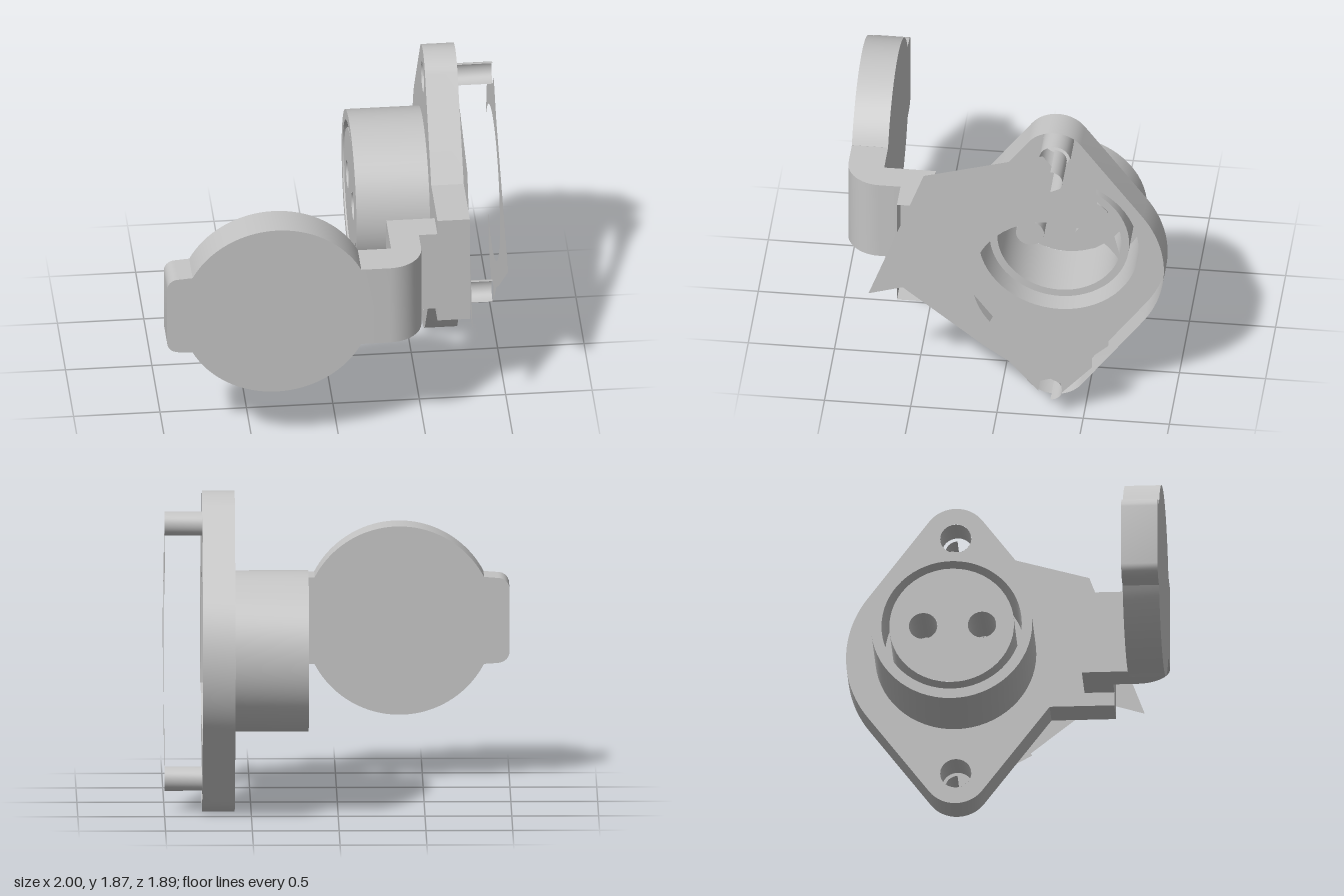
import * as THREE from 'three';
import { toCreasedNormals } from 'three/addons/utils/BufferGeometryUtils.js';

const steel = new THREE.MeshStandardMaterial({ color: 0xc4c4c4, side: THREE.DoubleSide });
steel.name = 'steel grey';

const CU = 0.31, CY = 0.937;      // socket axis, with u = -z
const BACK = 0.595, FRONT = 0.783; // flange extent along x
const PLATE = 1.0;                // outer loose plate position along x
const SCREWS = [CY + 0.745, CY - 0.745];
const OPENING = 0.455;            // radius of the plate openings

function mesh(name, geometry) {
  const m = new THREE.Mesh(geometry, steel);
  m.name = name;
  return m;
}

// points along an arc, angles in degrees
function arc(cx, cy, r, from, to, n = 16) {
  return Array.from({ length: n + 1 }, (_, i) => {
    const a = THREE.MathUtils.degToRad(from + (to - from) * i / n);
    return new THREE.Vector2(cx + r * Math.cos(a), cy + r * Math.sin(a));
  });
}

const pts = (list) => list.map(([a, b]) => new THREE.Vector2(a, b));

// flat sheet drawn in (u, y), standing at a given x
function sheet(name, shape, x) {
  const g = new THREE.ShapeGeometry(shape, 32).rotateY(Math.PI / 2).translate(x, 0, 0);
  return mesh(name, g);
}

// ribbon following a (u, y) outline between two x positions
function wall(name, outline, x0, x1) {
  const pos = [];
  for (let i = 0; i < outline.length - 1; i++) {
    const a = outline[i], b = outline[i + 1];
    const quad = [[x0, a], [x1, a], [x1, b], [x0, a], [x1, b], [x0, b]];
    for (const [x, p] of quad) pos.push(x, p.y, -p.x);
  }
  const g = new THREE.BufferGeometry();
  g.setAttribute('position', new THREE.Float32BufferAttribute(pos, 3));
  return mesh(name, toCreasedNormals(g, 0.5));
}

function circleHole(u, y, r) {
  const p = new THREE.Path();
  p.absarc(u, y, r, 0, Math.PI * 2, true);
  return p;
}

// open flange shell with a rectangular hinge tab
function buildFlange() {
  const group = new THREE.Group();
  group.name = 'flange';
  const t = 36.2;
  const outline = [
    ...arc(CU, CY, 0.633, -t, t, 24),
    ...arc(CU, SCREWS[0], 0.19, t, 180 - t),
    ...pts([[-0.225, 1.28], [-0.605, 1.28], [-0.605, 0.6], [-0.232, 0.6]]),
    ...arc(CU, SCREWS[1], 0.19, 180 + t, 360 - t),
  ];
  const face = new THREE.Shape(outline);
  face.holes.push(circleHole(CU, CY, 0.465));
  for (const y of SCREWS) face.holes.push(circleHole(CU, y, 0.09));
  group.add(sheet('flangeFace', face, BACK));
  group.add(wall('flangeRim', [...outline, outline[0]], BACK, FRONT));
  for (const y of SCREWS) {
    group.add(wall('screwHole', arc(CU, y, 0.09, 0, 360, 24), BACK, FRONT));
    group.add(wall('screwSleeve', arc(CU, y, 0.07, -90, 90), FRONT, PLATE));
  }
  return group;
}

// barrel with a slit around the flush insert and two contacts
function buildSocket() {
  const group = new THREE.Group();
  group.name = 'socket';
  const profile = pts([[0.465, BACK], [0.465, 0.17], [0.405, 0.17], [0.405, 0.55],
    [0.36, 0.55], [0.36, 0.175]]);
  const barrel = new THREE.LatheGeometry(profile, 64).rotateZ(-Math.PI / 2);
  barrel.translate(0, CY, -CU);
  group.add(mesh('barrel', toCreasedNormals(barrel, 0.5)));

  const disc = new THREE.Shape(arc(CU, CY, 0.36, 0, 360, 48));
  for (const u of [0.135, 0.475]) {
    disc.holes.push(circleHole(u, CY, 0.082));
    group.add(wall('contactTube', arc(u, CY, 0.082, 0, 360, 24), 0.175, 0.51));
    group.add(sheet('contactEnd', new THREE.Shape(arc(u, CY, 0.082, 0, 360, 24)), 0.51));
  }
  group.add(sheet('insertFace', disc, 0.175));
  return group;
}

// two layers of jagged thin plate around the socket opening
function buildPlates() {
  const group = new THREE.Group();
  group.name = 'loosePlates';
  const outer = [
    ...pts([[0.72, 1.1], [0.64, 1.5], [0.4, 1.7], [0.37, 1.64], [0.31, 1.61], [0.24, 1.7],
      [0.075, 1.5], [-0.655, 0.94], [-0.075, 0.475], [0.07, 0.375],
      [0.24, 0.18], [0.25, 0.25], [0.31, 0.27], [0.37, 0.24], [0.38, 0.18],
      [0.55, 0.37], [0.55, 0.57]]),
    ...arc(CU, CY, OPENING, -57, -338, 40),
  ];
  const innerUpper = [
    ...pts([[0.55, 1.5], [0.4, 1.7], [0.37, 1.64], [0.31, 1.61], [0.24, 1.7],
      [-0.45, 1.5], [-0.77, 0.63], [-0.41, 0.74]]),
    ...arc(CU, CY, OPENING, 194, 57, 24),
  ];
  const innerLower = [
    ...pts([[-0.12, 0.38], [0.24, 0.18], [0.25, 0.25], [0.31, 0.27], [0.37, 0.24],
      [0.4, 0.17], [0.62, 0.37], [0.64, 0.645]]),
    ...arc(CU, CY, OPENING, -45, -134, 20),
  ];
  group.add(sheet('outerPlate', new THREE.Shape(outer), PLATE));
  group.add(sheet('innerPlateUpper', new THREE.Shape(innerUpper), FRONT));
  group.add(sheet('innerPlateLower', new THREE.Shape(innerLower), FRONT));
  return group;
}

// cap disc with its pull tab, bent strap and hinge block
function buildCap() {
  const group = new THREE.Group();
  group.name = 'cap';
  const lo = 0.683, hi = 1.19;
  const cx = -0.365, r = 0.55, half = 27.5;
  const outline = new THREE.Shape([
    ...arc(cx, CY, r, half, 180 - half, 40),
    ...pts([[-0.93, 1.185]]),
    ...arc(-0.935, 1.12, 0.065, 100, 180, 6),
    ...arc(-0.935, 0.755, 0.065, 180, 260, 6),
    ...pts([[-0.93, 0.688]]),
    ...arc(cx, CY, r, 180 + half, 360 - half, 40),
  ]);
  const disc = new THREE.ExtrudeGeometry(outline, { depth: 0.21, bevelEnabled: false });
  disc.translate(0, 0, 0.733);
  group.add(mesh('capDisc', toCreasedNormals(disc, 0.5)));

  // strap profile in (x, z), extruded along y
  const strap = new THREE.Shape([
    ...pts([[0.1, 0.733], [0.315, 0.733], [0.315, 0.433], [BACK, 0.433], [BACK, 0.605], [0.488, 0.605]]),
    ...arc(0.288, 0.743, 0.2, 0, 90, 12),
    ...pts([[0.1, 0.943]]),
  ]);
  const g = new THREE.ExtrudeGeometry(strap, { depth: hi - lo, bevelEnabled: false });
  g.rotateX(Math.PI / 2).translate(0, hi, 0);
  group.add(mesh('hingeStrap', toCreasedNormals(g, 0.5)));
  return group;
}

export function createModel() {
  const model = new THREE.Group();
  model.name = 'flangeSocketWithCap';
  model.add(buildFlange(), buildSocket(), buildPlates(), buildCap());
  return model;
}
